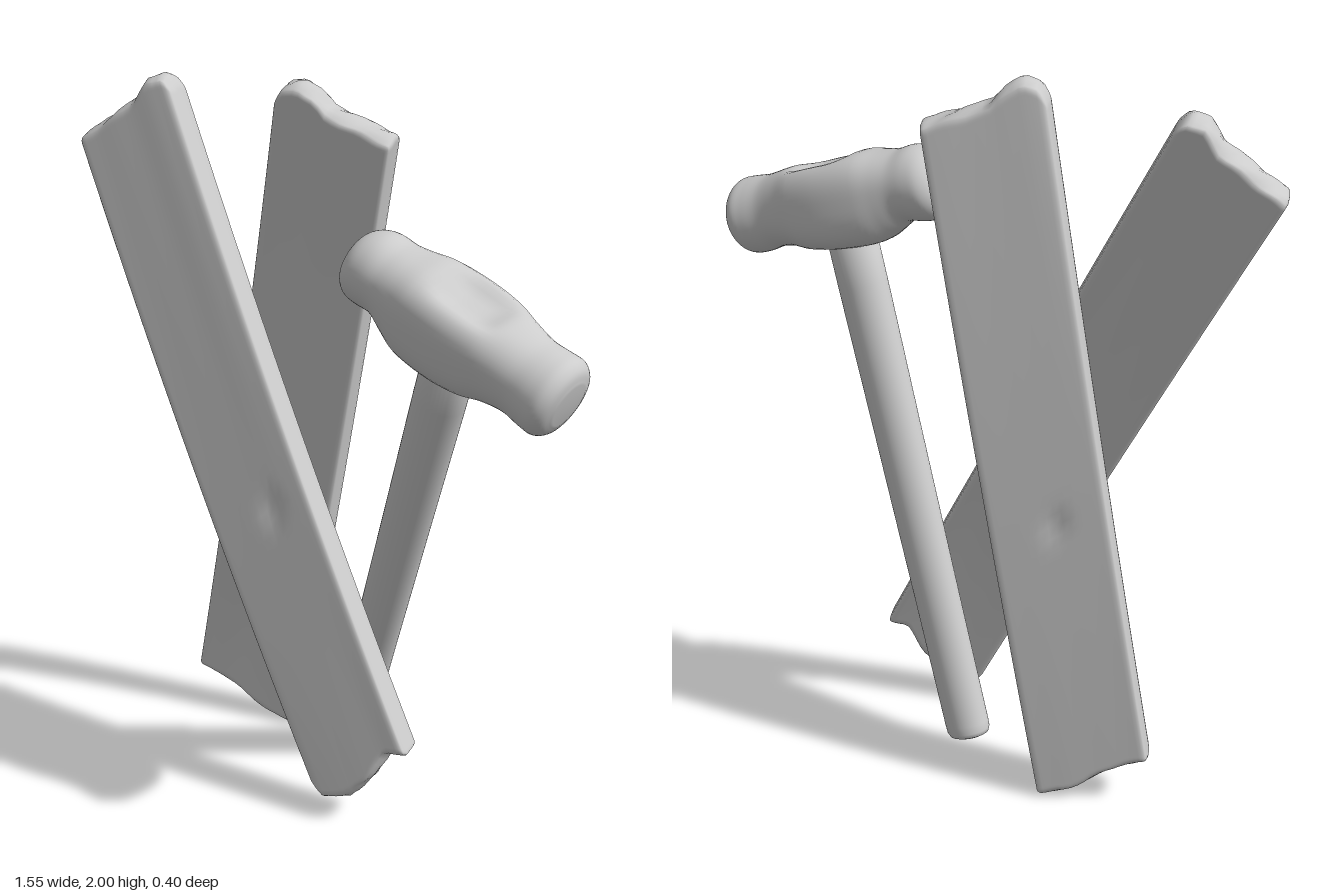
import * as THREE from 'three';
import { mergeVertices } from 'three/addons/utils/BufferGeometryUtils.js';

const material = new THREE.MeshStandardMaterial({ color: 0xcccccc });

function smooth(geometry) {
  geometry.deleteAttribute('uv');
  geometry.deleteAttribute('normal');
  const merged = mergeVertices(geometry, 1e-5);
  merged.computeVertexNormals();
  return merged;
}

function addMesh(parent, name, geometry) {
  const mesh = new THREE.Mesh(geometry, material);
  mesh.name = name;
  parent.add(mesh);
  return mesh;
}

// Linear lookup through rows of [key, value]
function sample(rows, key) {
  let i = 1;
  while (i < rows.length - 1 && rows[i][0] < key) i++;
  const a = rows[i - 1], b = rows[i];
  const k = THREE.MathUtils.clamp((key - a[0]) / (b[0] - a[0]), 0, 1);
  return a[1] + (b[1] - a[1]) * k;
}

// Rounded board with broken ends, a slight bow and one shallow dent.
// bottom/top: [across -1..1, height along board]; depth: offset at bottom, middle, top
// dent: across, height, face (1 front, -1 back)
function plank({ width, thick, bottom, top, depth, dent }) {
  const geometry = new THREE.BoxGeometry(2, 2, 2, 24, 90, 6);
  const pos = geometry.attributes.position;
  const r = 0.014, half = new THREE.Vector3(width / 2, 0.95, thick / 2);
  const p = new THREE.Vector3(), inner = new THREE.Vector3();
  const limit = half.clone().subScalar(r), lower = limit.clone().negate();
  const bow = depth[1] - (depth[0] + depth[2]) / 2;
  const ease = v => Math.sin(v * Math.PI / 2);
  for (let i = 0; i < pos.count; i++) {
    p.fromBufferAttribute(pos, i);
    p.set(ease(p.x), ease(p.y), ease(p.z)).multiply(half);
    inner.copy(p).clamp(lower, limit);
    const out = p.clone().sub(inner);
    if (out.length() > r) p.copy(inner).add(out.setLength(r));

    const u = p.x / half.x, t = p.z / half.z, v = p.y / half.y;
    const chip = 0.003 * Math.sin(9 * u + 4 * t), dome = 0.012 * t * t;
    const low = sample(bottom, u) + chip + dome, high = sample(top, u) + chip - dome;
    const y = low + (high - low) * (v + 1) / 2;
    let z = p.z + depth[0] + (depth[2] - depth[0]) * (v + 1) / 2 + bow * (1 - v * v);
    const d2 = (p.x - dent[0]) ** 2 + (y - dent[1]) ** 2;
    z -= 0.01 * dent[2] * Math.max(0, t * dent[2]) * Math.exp(-d2 / 0.0009);
    pos.setXYZ(i, p.x, y, z);
  }
  return smooth(geometry);
}

// Head swept along x: [x, half height, half depth, centre height, squareness]
function hammerHead() {
  const rows = [
    [-0.33, 0.045, 0.045, 0.005, 2], [-0.32, 0.074, 0.076, 0.005, 2],
    [-0.295, 0.093, 0.096, 0.006, 2], [-0.26, 0.1, 0.102, 0.01, 2],
    [-0.21, 0.094, 0.104, 0.012, 2.1], [-0.165, 0.106, 0.111, 0.004, 2.4],
    [-0.11, 0.121, 0.12, -0.003, 2.8], [0, 0.122, 0.126, -0.003, 3],
    [0.09, 0.116, 0.12, 0, 2.8], [0.15, 0.104, 0.109, 0.003, 2.4],
    [0.21, 0.098, 0.103, 0.001, 2.1], [0.26, 0.103, 0.108, -0.002, 2],
    [0.295, 0.102, 0.109, -0.002, 2], [0.318, 0.086, 0.093, -0.002, 2],
    [0.33, 0.055, 0.06, -0.002, 2]];
  const sizes = new THREE.CatmullRomCurve3(rows.map(a => new THREE.Vector3(a[0], a[1], a[2])));
  const shapes = new THREE.CatmullRomCurve3(rows.map(a => new THREE.Vector3(a[0], a[3], a[4])));
  const rings = 70, sides = 48, points = [], index = [];
  for (let i = 0; i <= rings; i++) {
    const size = sizes.getPoint(i / rings), shape = shapes.getPoint(i / rings);
    for (let j = 0; j < sides; j++) {
      const angle = j / sides * Math.PI * 2, c = Math.cos(angle), s = Math.sin(angle);
      const n = 1 / (Math.abs(c) ** shape.z + Math.abs(s) ** shape.z) ** (1 / shape.z);
      const z = s * n * size.z;
      let y = shape.y + c * n * size.y;
      // Hollow above the handle
      if (c > 0) y -= 0.03 * Math.exp(-(((size.x - 0.02) / 0.085) ** 4) - (z / 0.065) ** 4);
      points.push(size.x, y, z);
      if (i < rings) {
        const q = i * sides + j, w = i * sides + (j + 1) % sides;
        index.push(q, w, q + sides, w, w + sides, q + sides);
      }
    }
  }
  // Slightly domed end faces
  const first = points.length / 3, last = rings * sides;
  points.push(-0.333, 0.005, 0, 0.333, -0.002, 0);
  for (let j = 0; j < sides; j++) {
    const k = (j + 1) % sides;
    index.push(first, k, j, first + 1, last + j, last + k);
  }
  const geometry = new THREE.BufferGeometry();
  geometry.setAttribute('position', new THREE.Float32BufferAttribute(points, 3));
  geometry.setIndex(index);
  geometry.computeVertexNormals();
  return geometry;
}

export function createModel() {
  const model = new THREE.Group();
  model.name = 'planksAndHammer';

  // Boards: across is the sideways offset, lean and turn are rotations
  const place = (mesh, across, lean, turn) => {
    mesh.rotation.set(0, turn, lean, 'ZYX');
    mesh.position.set(across * Math.cos(lean), across * Math.sin(lean), 0);
  };
  const front = addMesh(model, 'frontPlank', plank({
    width: 0.318, thick: 0.088, depth: [0.112, 0.118, 0.073], dent: [0.04, 0.84, 1],
    bottom: [[-1, 0.06], [-0.88, 0.01], [-0.35, 0.004], [0.17, 0.045], [0.65, 0.105], [1, 0.088]],
    top: [[-1, 1.93], [0.25, 1.97], [0.6, 2.004], [0.9, 2], [1, 1.965]]
  }));
  place(front, 0.213, 0.461, 0.28);

  const back = addMesh(model, 'backPlank', plank({
    width: 0.318, thick: 0.088, depth: [-0.094, -0.112, -0.083], dent: [-0.02, 0.78, -1],
    bottom: [[-1, 0.03], [-0.55, 0.025], [0, -0.012], [0.45, -0.05], [1, -0.055]],
    top: [[-1, 1.88], [-0.9, 1.915], [-0.65, 1.935], [-0.32, 1.914], [-0.15, 1.888], [1, 1.858]]
  }));
  place(back, -0.397, -0.186, 0.34);

  // Hammer: handle runs up local y, head along local x
  const hammer = new THREE.Group();
  hammer.name = 'hammer';
  const up = new THREE.Vector3(0.49, 1.43, 0.2).normalize();
  const side = new THREE.Vector3(0.585, -0.19, -0.02);
  side.addScaledVector(up, -side.dot(up)).normalize();
  const out = new THREE.Vector3().crossVectors(side, up);
  hammer.quaternion.setFromRotationMatrix(new THREE.Matrix4().makeBasis(side, up, out));
  hammer.position.set(-0.06, 0.095, -0.135);
  model.add(hammer);

  const profile = [[0, 0], [0.045, 0.001], [0.057, 0.006], [0.062, 0.018], [0.063, 0.04],
    [0.064, 0.4], [0.067, 0.9], [0.07, 1.3], [0.07, 1.47], [0, 1.47]];
  const handle = addMesh(hammer, 'handle',
    new THREE.LatheGeometry(profile.map(p => new THREE.Vector2(...p)), 40));
  handle.scale.z = 0.86;

  const head = addMesh(hammer, 'hammerHead', hammerHead());
  head.position.set(0.005, 1.53, 0);
  return model;
}
